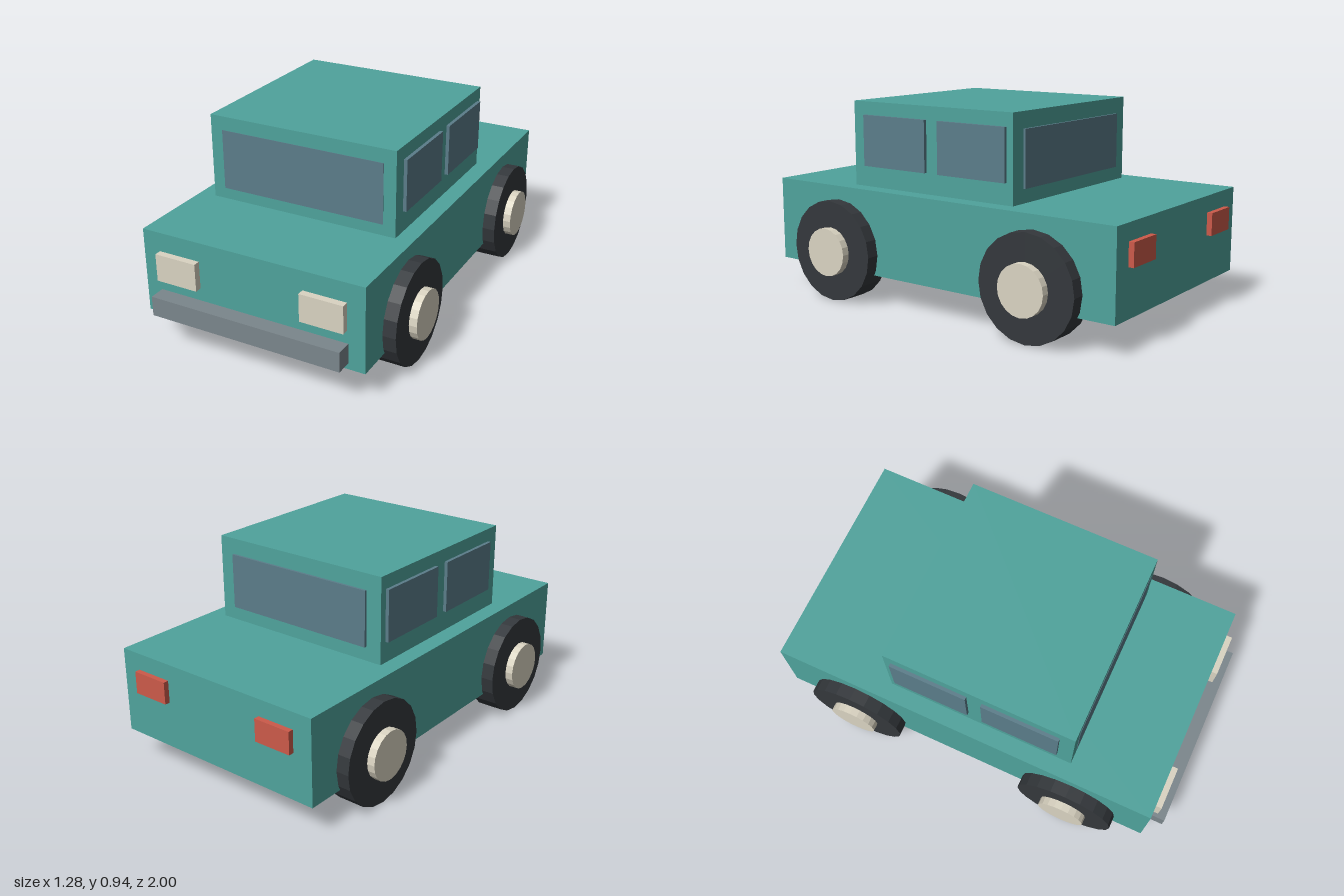
import * as THREE from 'three';

const paint = (color) => new THREE.MeshStandardMaterial({ color, flatShading: true });

export function createModel() {
  const car = new THREE.Group();
  car.name = 'car';
  const teal = paint(0x4fa39c);
  const glass = paint(0x5b7d8a);
  const rubber = paint(0x34383c);
  const cream = paint(0xdad4c2);
  const grey = paint(0x7b868c);
  const red = paint(0xcc5a4a);

  // Box given by its extents along each axis
  const box = (name, material, [x0, x1], [y0, y1], [z0, z1]) => {
    const mesh = new THREE.Mesh(new THREE.BoxGeometry(x1 - x0, y1 - y0, z1 - z0), material);
    mesh.position.set((x0 + x1) / 2, (y0 + y1) / 2, (z0 + z1) / 2);
    mesh.name = name;
    car.add(mesh);
  };
  // Same box on the left (+x) and the right (-x)
  const pair = (name, material, [x0, x1], y, z) => {
    box(name + 'Left', material, [x0, x1], y, z);
    box(name + 'Right', material, [-x1, -x0], y, z);
  };

  // Body and cabin
  box('body', teal, [-0.543, 0.543], [0.143, 0.545], [-0.975, 0.925]);
  box('cabin', teal, [-0.462, 0.462], [0.545, 0.945], [-0.42, 0.497]);

  // Windows
  box('windshield', glass, [-0.403, 0.403], [0.597, 0.88], [0.47, 0.499]);
  box('rearWindow', glass, [-0.385, 0.385], [0.61, 0.87], [-0.431, -0.4]);
  pair('frontSideWindow', glass, [0.44, 0.478], [0.643, 0.883], [0.057, 0.427]);
  pair('rearSideWindow', glass, [0.44, 0.478], [0.643, 0.883], [-0.387, -0.017]);

  // Bumper and lights
  box('frontBumper', grey, [-0.465, 0.465], [0.172, 0.265], [0.9, 1]);
  pair('headlight', cream, [0.255, 0.46], [0.325, 0.455], [0.9, 0.957]);
  pair('taillight', red, [0.265, 0.448], [0.362, 0.467], [-1, -0.95]);

  // Wheels: tyre with a protruding hub
  const disc = (radius, x0, x1) =>
    new THREE.CylinderGeometry(radius, radius, x1 - x0, 20)
      .rotateZ(-Math.PI / 2)
      .rotateX(Math.PI / 2)
      .translate((x0 + x1) / 2, 0, 0);
  const tyreShape = disc(0.24, 0.48, 0.604);
  const hubShape = disc(0.115, 0.5, 0.641);
  for (const [end, z] of [['front', 0.535], ['rear', -0.583]]) {
    for (const [side, turn] of [['Left', 0], ['Right', Math.PI]]) {
      const wheel = new THREE.Group();
      wheel.name = `${end}Wheel${side}`;
      const tyre = new THREE.Mesh(tyreShape, rubber);
      tyre.name = 'tyre';
      const hub = new THREE.Mesh(hubShape, cream);
      hub.name = 'hub';
      wheel.add(tyre, hub);
      wheel.rotation.y = turn;
      wheel.position.set(0, 0.241, z);
      car.add(wheel);
    }
  }
  return car;
}
